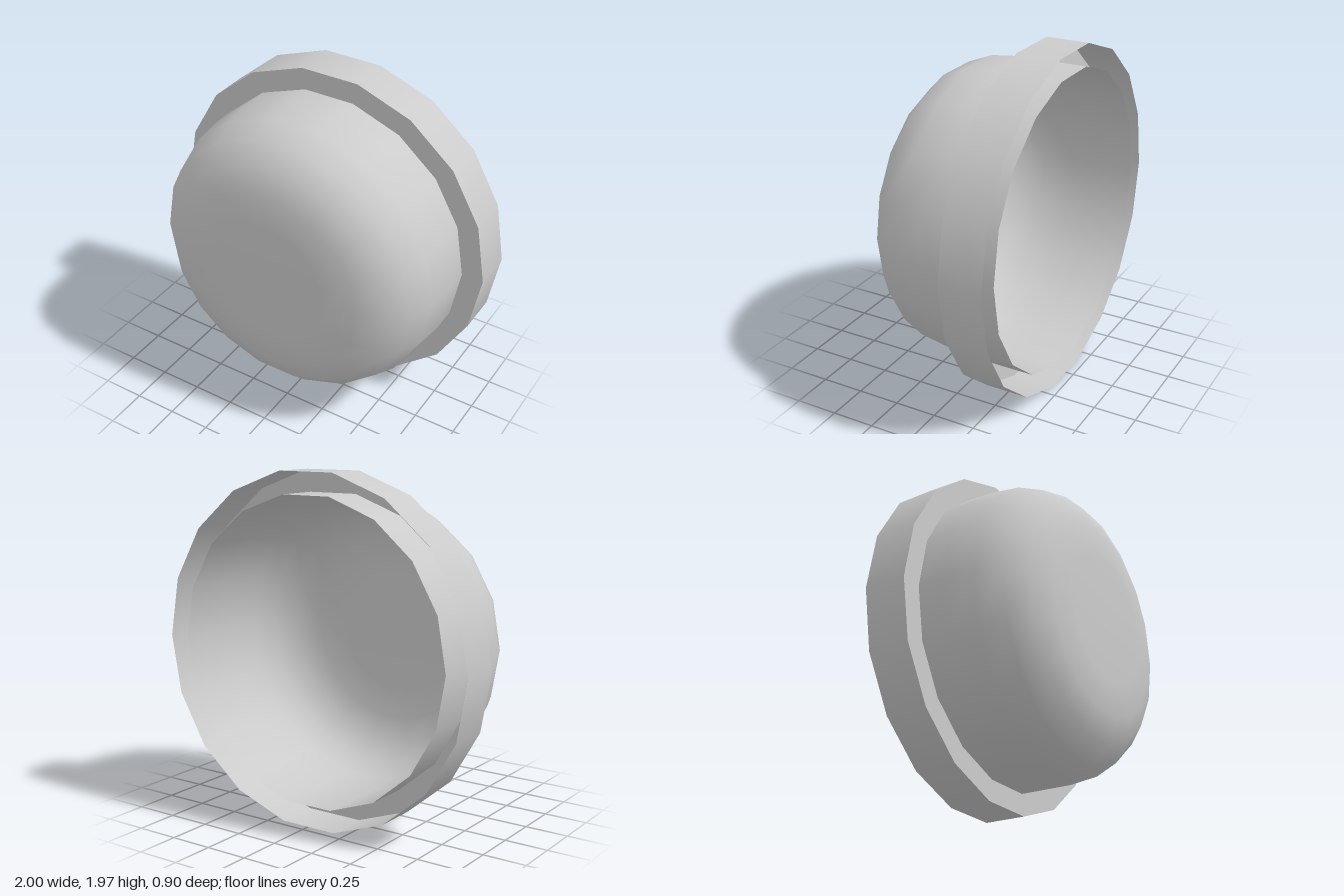
import * as THREE from 'three';

const SIDES = 18;
const CENTRE_Y = Math.cos(Math.PI / SIDES); // flat of the polygon rests on y = 0

// Turn a [radius, z] profile around the front-back axis, corners on the x axis
function turned(name, profile, material) {
  const points = profile.map(([r, z]) => new THREE.Vector2(r, z));
  const geometry = new THREE.LatheGeometry(points, SIDES, Math.PI / 2);
  geometry.rotateX(Math.PI / 2);
  const mesh = new THREE.Mesh(geometry, material);
  mesh.name = name;
  mesh.position.y = CENTRE_Y;
  return mesh;
}

export function createModel() {
  const model = new THREE.Group();
  model.name = 'roundCap';
  const material = new THREE.MeshStandardMaterial({ color: 0xcccccc, side: THREE.DoubleSide });

  // Hollow bowl: straight wall, rounded shoulder, flat front
  model.add(turned('bowl', [
    [0.873, -0.45], [0.873, -0.2], [0.873, -0.05], [0.853, 0.13], [0.797, 0.27],
    [0.695, 0.37], [0.555, 0.43], [0.37, 0.45], [0, 0.45],
  ], material));

  // Collar around the bowl, closed at the front and open at the back
  const collar = new THREE.Group();
  collar.name = 'collar';
  collar.add(turned('collarWall', [[1, -0.45], [1, -0.2]], material));
  collar.add(turned('collarFace', [[1, -0.2], [0.873, -0.2]], material));
  model.add(collar);

  return model;
}
